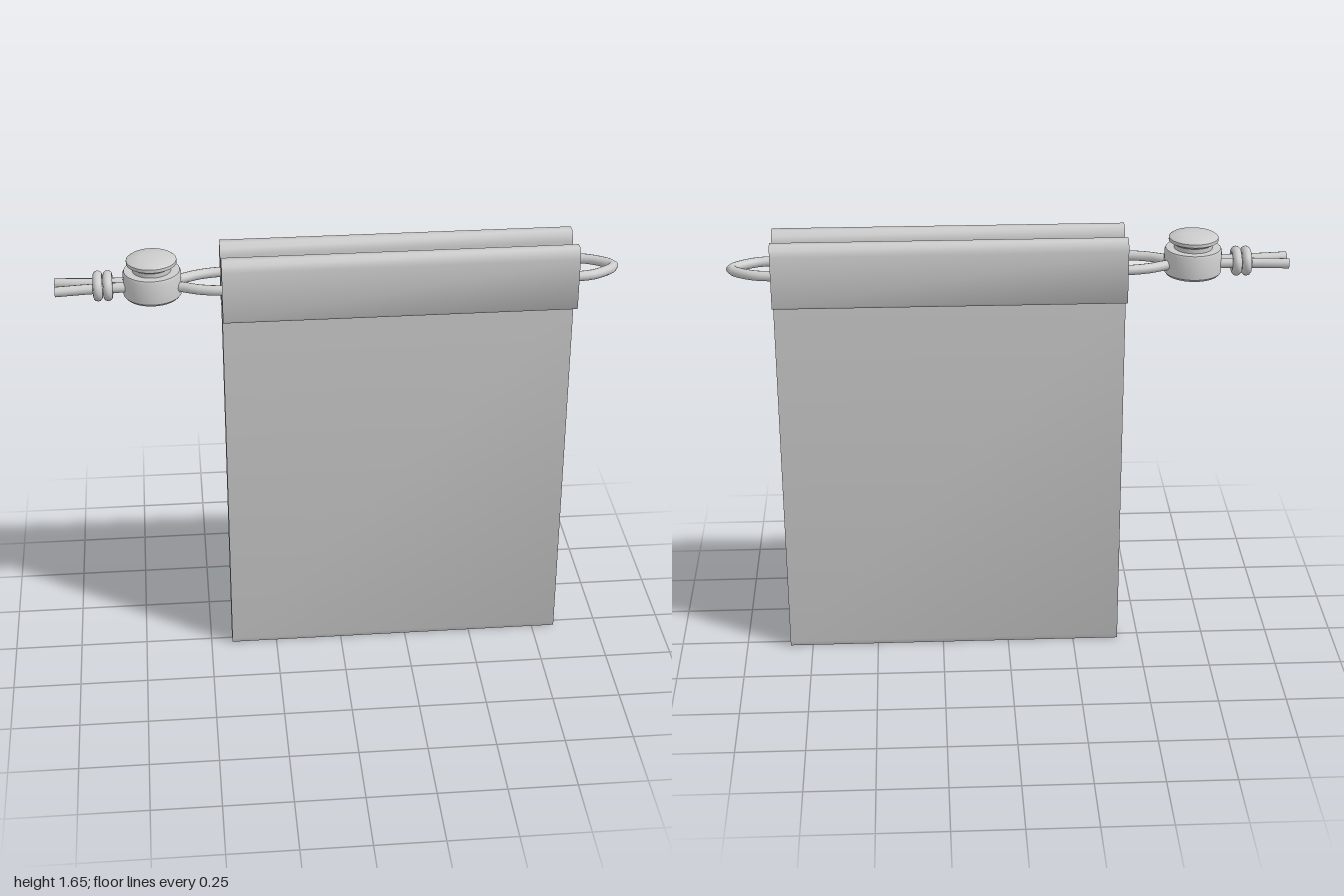
import * as THREE from 'three';
import { toCreasedNormals } from 'three/addons/utils/BufferGeometryUtils.js';

const X0 = -0.42, X1 = 0.835;   // left and right edges of the pouch
const CORD_Y = 1.53;

const solid = new THREE.MeshStandardMaterial({ color: 0xcccccc });
const cloth = new THREE.MeshStandardMaterial({ color: 0xcccccc, side: THREE.DoubleSide });

function add(parent, name, geometry, material = solid) {
  const mesh = new THREE.Mesh(geometry, material);
  mesh.name = name;
  parent.add(mesh);
  return mesh;
}

// Surface stitched between two rows of [x, y, z] points
function sheet(rowA, rowB) {
  const pos = [];
  for (let i = 0; i < rowA.length - 1; i++) {
    const a = rowA[i], b = rowB[i], c = rowB[i + 1], d = rowA[i + 1];
    pos.push(...a, ...b, ...c, ...a, ...c, ...d);
  }
  const g = new THREE.BufferGeometry();
  g.setAttribute('position', new THREE.Float32BufferAttribute(pos, 3));
  return toCreasedNormals(g, 0.95);
}

// Sweeps a [z, y] profile across the pouch width
const sweep = (profile) => sheet(
  profile.map(([z, y]) => [X0, y, z]),
  profile.map(([z, y]) => [X1, y, z])
);

export function createModel() {
  const model = new THREE.Group();
  model.name = 'drawstringPouch';

  // Back panel, base and front panel in one strip
  const half = [[0.03, 0], [0.037, 0.02], [0.037, 1.415]];
  const mirrored = half.map(([z, y]) => [-z, y]).reverse();
  add(model, 'pouchPanels', sweep([...mirrored, ...half]), cloth);

  // Side gussets, lightly folded in and split into a V at the top
  const fold = [[0, 0, 0], [0.25, 0.015, 0], [1.27, 0.015, 0], [1.41, 0, 0.034]];
  for (const [x, inward, side] of [[X1, -1, 'left'], [X0, 1, 'right']]) {
    for (const s of [1, -1]) {
      const edge = fold.map(([y], i) => [x, y, s * (i ? 0.037 : 0.03)]);
      const middle = fold.map(([y, d, z]) => [x + inward * d, y, s * z]);
      const outward = s * inward < 0;
      add(model, side + (s > 0 ? 'FrontGusset' : 'BackGusset'),
        outward ? sheet(edge, middle) : sheet(middle, edge), cloth);
    }
  }

  // Open-ended cord sleeves along the mouth
  const sleeve = [[0.037, 1.415], [0.103, 1.415], [0.11, 1.425], [0.11, 1.61],
    [0.104, 1.632], [0.09, 1.648], [0.062, 1.648], [0.046, 1.632], [0.04, 1.61], [0.037, 1.415]];
  add(model, 'frontSleeve', sweep(sleeve), cloth);
  add(model, 'backSleeve', sweep(sleeve.map(([z, y]) => [-z, y]).reverse()), cloth);

  // One cord: tail, knot, stopper, sleeve, end loop and back again
  const run = [[-1, 0.036], [-0.88, 0.024], [-0.76, 0.02], [-0.66, 0.022], [-0.57, 0.03],
    [-0.5, 0.06], [-0.41, 0.077], [-0.2, 0.078], [0.3, 0.078], [0.83, 0.076], [0.91, 0.058]];
  const path = [...run, [0.978, 0], ...run.map(([x, z]) => [x, -z]).reverse()]
    .map(([x, z]) => new THREE.Vector3(x, CORD_Y, z));
  const curve = new THREE.CatmullRomCurve3(path, false, 'centripetal');
  const cordRadius = 0.018;
  add(model, 'cord', new THREE.TubeGeometry(curve, 180, cordRadius, 12));
  for (const s of [1, -1]) {
    const cap = add(model, 'cordEnd', new THREE.CircleGeometry(cordRadius, 12));
    cap.position.set(-1, CORD_Y, s * 0.036);
    cap.rotation.y = -Math.PI / 2;
  }

  // Knot of two wraps around both cord tails
  const knot = new THREE.Group();
  knot.name = 'knot';
  for (const x of [-0.815, -0.85]) {
    const wrap = add(knot, 'knotWrap', new THREE.TorusGeometry(0.035, 0.017, 12, 32));
    wrap.position.set(x, CORD_Y, 0);
    wrap.rotation.y = Math.PI / 2;
    wrap.scale.x = 1.22;
  }
  model.add(knot);

  // Stopper: round body, narrow plunger and a domed button
  const stopper = new THREE.Group();
  stopper.name = 'cordStopper';
  stopper.position.x = -0.66;
  const lathe = (name, points) => add(stopper, name, toCreasedNormals(
    new THREE.LatheGeometry(points.map(([r, y]) => new THREE.Vector2(r, y)), 40), 0.6));
  lathe('stopperBody', [[0, 1.477], [0.035, 1.477], [0.07, 1.483], [0.094, 1.488],
    [0.102, 1.497], [0.102, 1.575], [0.098, 1.584], [0, 1.584]]);
  lathe('stopperPlunger', [[0.068, 1.58], [0.068, 1.612]]);
  lathe('stopperButton', [[0, 1.602], [0.072, 1.602], [0.088, 1.612], [0.088, 1.624],
    [0.08, 1.63], [0.04, 1.637], [0, 1.639]]);
  model.add(stopper);

  return model;
}
